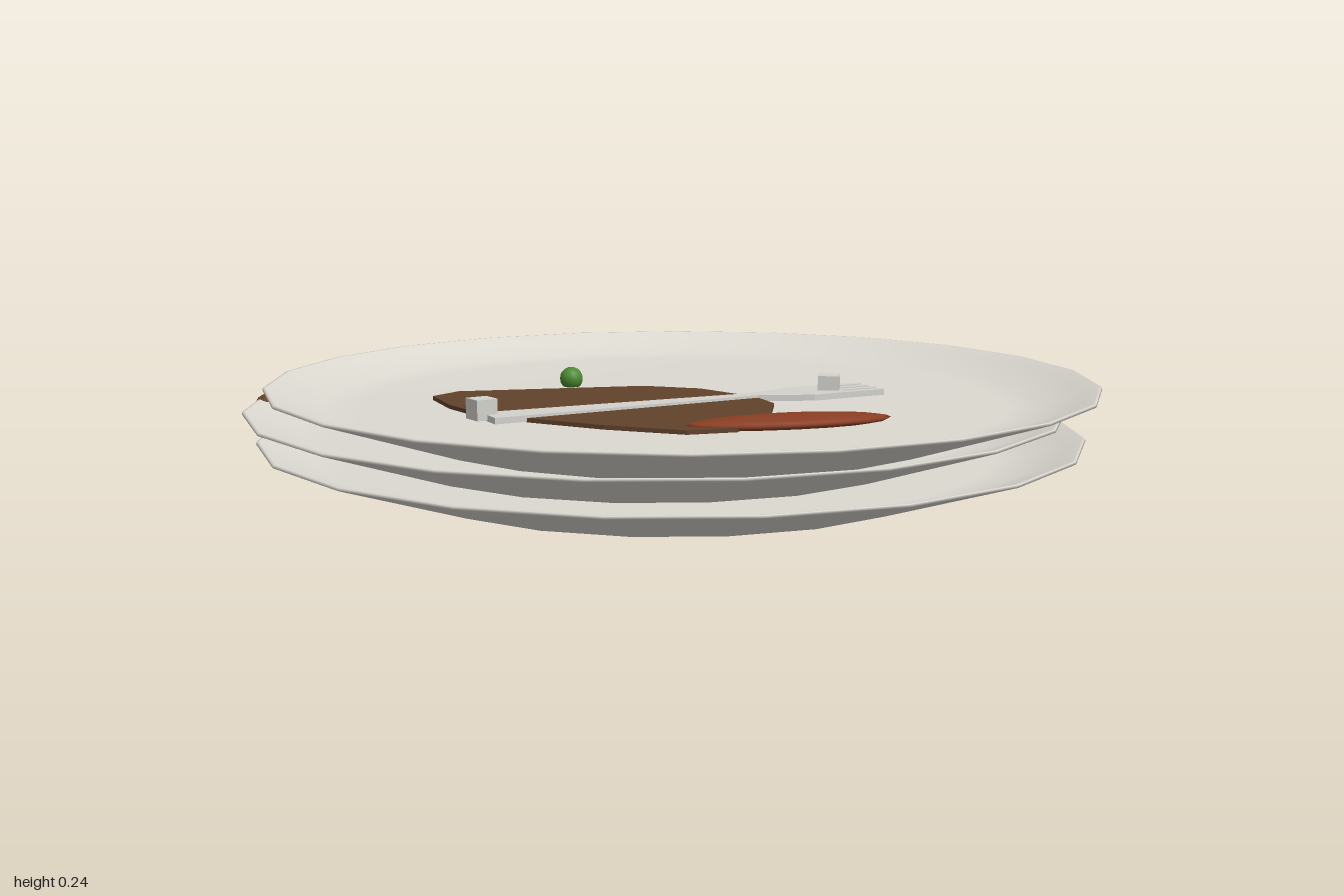
import * as THREE from 'three';

const mat = (name, color, side = THREE.FrontSide) => {
  const m = new THREE.MeshStandardMaterial({ color, side });
  m.name = name;
  return m;
};

export function createModel() {
  const group = new THREE.Group();
  group.name = 'stackedDirtyPlates';
  const china = mat('china', 0xdcd9d1);
  const steel = mat('steel', 0xd2d1cc);
  const meat = mat('meat', 0x60422b);
  const sausageRed = mat('sausageRed', 0x8a3e24);
  const peaGreen = mat('peaGreen', 0x4a8a30);
  const leafGreen = mat('leafGreen', 0x62a044, THREE.DoubleSide);

  const add = (name, geo, material, x = 0, y = 0, z = 0, ry = 0) => {
    const mesh = new THREE.Mesh(geo, material);
    mesh.name = name;
    mesh.position.set(x, y, z);
    mesh.rotation.y = ry;
    group.add(mesh);
    return mesh;
  };

  // Flat slab from an outline of [x, z] points, standing on y = 0
  const slab = (points, depth) => {
    const shape = new THREE.Shape(points.map(([x, z]) => new THREE.Vector2(x, -z)));
    return new THREE.ExtrudeGeometry(shape, { depth, bevelEnabled: false }).rotateX(-Math.PI / 2);
  };

  // Plates: flat foot, flared underside, thin soft rim, shallow dish
  const profile = [
    [0, 0], [0.62, 0], [0.945, 0.108], [0.944, 0.114], [0.938, 0.114],
    [0.9, 0.099], [0.82, 0.07], [0.74, 0.062], [0, 0.061],
  ].map(([r, y]) => new THREE.Vector2(r, y));
  [
    ['bottomPlate', 20, 0.005, 0, 0.03],
    ['middlePlate', 20, -0.037, 0.062, 0],
    ['topPlate', 22, 0.034, 0.123, 0.06],
  ].forEach(([name, sides, x, y, z]) =>
    add(name, new THREE.LatheGeometry(profile, sides, Math.PI / 2), china, x, y, z));

  // Steak on the top plate
  add('steak', slab([
    [-0.54, 0.12], [-0.5, 0.04], [-0.08, -0.105], [0.06, -0.08], [0.2, 0.03], [0.25, 0.12], [0.255, 0.29],
    [0.2, 0.46], [0.1, 0.505], [-0.08, 0.465], [-0.25, 0.4], [-0.38, 0.34], [-0.47, 0.24],
  ], 0.018), meat, 0, 0.176, 0);

  // Squashed sausage, pea and a scrap caught on the middle rim
  const blob = (name, m, r, p, ry = 0) =>
    add(name, new THREE.SphereGeometry(1, 16, 10).scale(...r), m, ...p, ry);
  blob('sausage', sausageRed, [0.23, 0.016, 0.064], [0.302, 0.194, 0.362], 0.4);
  blob('pea', peaGreen, [0.028, 0.028, 0.028], [-0.263, 0.204, -0.138]);
  blob('meatScrap', meat, [0.024, 0.012, 0.06], [-0.955, 0.171, 0.06]);

  // Fork: tapered handle, flared head, four tines
  const outline = [[-0.66, -0.042], [-0.66, 0.042], [0, 0.018], [0.118, 0.072]];
  const tineWidth = 0.02, pitch = 0.0327;
  for (let i = 3; i >= 0; i--) {
    const v = -0.049 + i * pitch;
    outline.push([i === 3 ? 0.2 : 0.21, v + tineWidth], [0.31, v + tineWidth], [0.31, v], [0.21, v]);
  }
  outline.push([0.118, -0.055], [0, -0.018]);
  add('fork', slab(outline, 0.014), steel, 0.2, 0.186, 0.03, 0.607);

  // Small cubes lying on the fork
  const cube = new THREE.BoxGeometry(0.05, 0.045, 0.05);
  add('handleCube', cube, steel, -0.36, 0.211, 0.387, 0.75);
  add('headCube', cube, steel, 0.365, 0.211, -0.072);

  // Curled leaf hanging over the back rim: rows of left x, right x, z, height
  const rows = [
    [-0.05, 0.04, -0.8, 0.178], [-0.055, 0.032, -0.88, 0.197], [-0.032, 0.036, -0.92, 0.2],
    [-0.058, 0.04, -0.95, 0.197], [-0.02, 0.036, -0.98, 0.19], [0.015, 0.022, -1.0, 0.18],
  ];
  const pos = [], index = [];
  rows.forEach(([l, r, z, y], i) => {
    const droop = 0.33 * (r - l);
    pos.push(l, y - droop, z, (l + r) / 2, y, z, r, y - droop, z);
    if (i) for (const k of [0, 1]) {
      const a = (i - 1) * 3 + k, b = a + 3;
      index.push(a, a + 1, b, a + 1, b + 1, b);
    }
  });
  const leaf = new THREE.BufferGeometry();
  leaf.setAttribute('position', new THREE.Float32BufferAttribute(pos, 3));
  leaf.setIndex(index);
  leaf.computeVertexNormals();
  add('leaf', leaf, leafGreen);

  return group;
}
